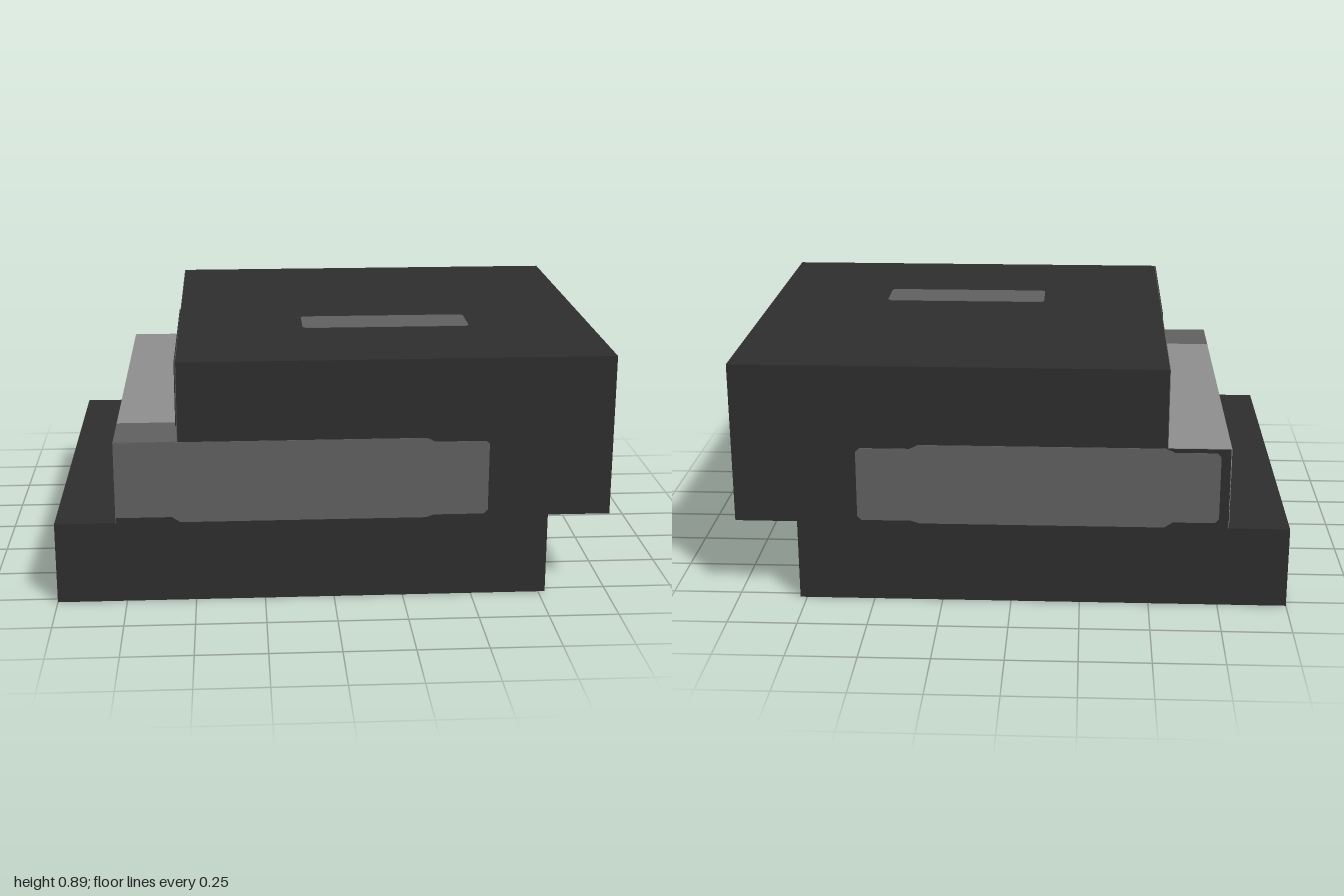
import * as THREE from 'three';

const DEPTH = 0.78; // half depth of every block

export function createModel() {
  const group = new THREE.Group();
  const mat = (name, color) => {
    const m = new THREE.MeshStandardMaterial({ color });
    m.name = name;
    return m;
  };
  const charcoal = mat('charcoal', 0x2e2e2e);
  const midGrey = mat('midGrey', 0x616161);
  const lightGrey = mat('lightGrey', 0x8f8f8f);

  // Box given by its extents in x and y, through the full depth
  const block = (name, x0, x1, y0, y1) => {
    const mesh = new THREE.Mesh(new THREE.BoxGeometry(x1 - x0, y1 - y0, 2 * DEPTH), charcoal);
    mesh.name = name;
    mesh.position.set((x0 + x1) / 2, (y0 + y1) / 2, 0);
    group.add(mesh);
  };

  // Rectangle outline with cut corners of size c
  const rect = (u0, u1, v0, v1, c = 0) => c === 0
    ? [[u0, v0], [u1, v0], [u1, v1], [u0, v1]]
    : [[u0 + c, v0], [u1 - c, v0], [u1, v0 + c], [u1, v1 - c],
      [u1 - c, v1], [u0 + c, v1], [u0, v1 - c], [u0, v0 + c]];

  // Thin plate on a face at a given distance from the origin;
  // outline axes are front (x, y), back (-x, y), right (-z, y), left (z, y), top (x, -z)
  const turns = {
    front: [0, 0], back: [0, Math.PI], right: [0, Math.PI / 2],
    left: [0, -Math.PI / 2], top: [-Math.PI / 2, 0],
  };
  const plate = (name, face, distance, points, material, lift = 0.002) => {
    const shape = new THREE.Shape(points.map(([u, v]) => new THREE.Vector2(u, v)));
    const geo = new THREE.ExtrudeGeometry(shape, { depth: lift + 0.001, bevelEnabled: false });
    geo.translate(0, 0, distance - 0.001);
    geo.rotateX(turns[face][0]).rotateY(turns[face][1]);
    const mesh = new THREE.Mesh(geo, material);
    mesh.name = name;
    group.add(mesh);
  };

  // Stacked blocks
  block('base', -1, 0.775, 0, 0.3);
  block('step', -0.78, -0.555, 0.3, 0.6);
  block('upperBody', -0.555, 1, 0.3, 0.89);

  // Step covering: light along most of its length, mid grey at the front end
  plate('stepTopLight', 'top', 0.6, rect(-0.78, -0.555, -0.55, DEPTH), lightGrey);
  plate('stepTopEnd', 'top', 0.6, rect(-0.78, -0.555, -DEPTH, -0.55), midGrey);
  plate('stepSideLight', 'left', 0.78, rect(-DEPTH, 0.55, 0.3, 0.6), lightGrey);
  plate('stepSideEnd', 'left', 0.78, rect(0.55, DEPTH, 0.3, 0.6), midGrey);

  // Wall above the step, partly charcoal
  plate('wallGrey', 'left', 0.555, rect(-DEPTH, DEPTH, 0.6, 0.89), midGrey);
  plate('wallDark', 'left', 0.555,
    [[0.01, 0.66], [DEPTH, 0.66], [DEPTH, 0.89], [-0.02, 0.89], [-0.02, 0.69]], charcoal, 0.005);

  // Long bands across front and back
  plate('frontBand', 'front', DEPTH, [
    [-0.78, 0.32], [-0.58, 0.32], [-0.55, 0.3], [0.33, 0.3], [0.36, 0.31], [0.54, 0.31],
    [0.555, 0.325], [0.555, 0.575], [0.54, 0.585], [0.36, 0.585], [0.33, 0.6], [-0.78, 0.6],
  ], midGrey);
  plate('backBand', 'back', DEPTH, [
    [-0.54, 0.31], [-0.36, 0.31], [-0.33, 0.3], [0.55, 0.3], [0.58, 0.32], [0.73, 0.32],
    [0.745, 0.335], [0.745, 0.57], [0.73, 0.585], [0.58, 0.585], [0.55, 0.6], [-0.33, 0.6],
    [-0.36, 0.585], [-0.54, 0.585], [-0.555, 0.57], [-0.555, 0.325],
  ], midGrey);

  // Small patches on the right side and the top
  plate('sidePatch', 'right', 1, rect(-0.385, -0.005, 0.365, 0.71, 0.015), midGrey);
  plate('topPatch', 'top', 0.89, rect(-0.09, 0.54, -0.31, -0.13, 0.012), midGrey);

  return group;
}
